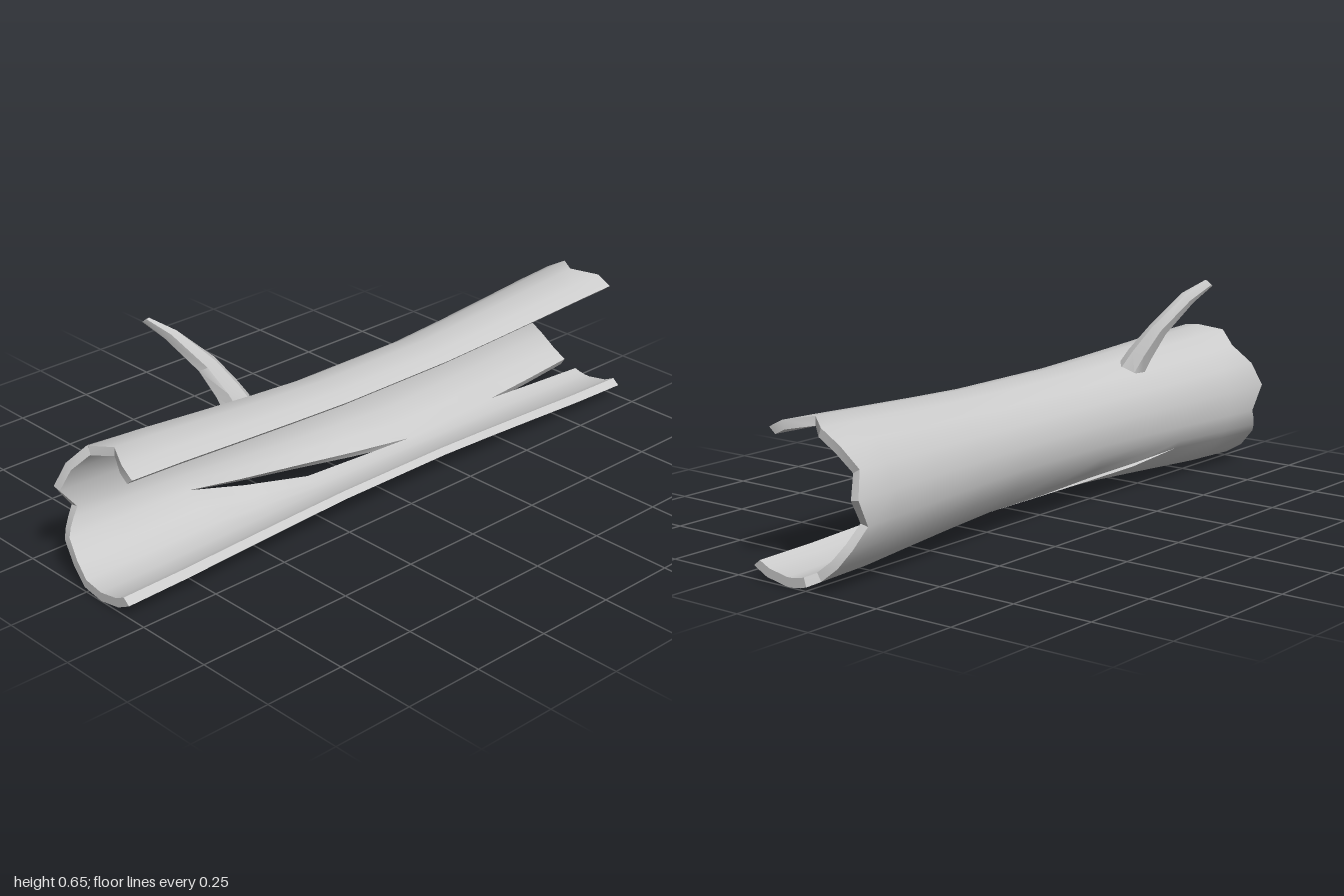
import * as THREE from 'three';
import { toCreasedNormals } from 'three/addons/utils/BufferGeometryUtils.js';

const RAD = Math.PI / 180;
const LIP_TOP = -34, LIP_BOTTOM = 214; // degrees from the top, turning over the back

// Linear interpolation through [key, value] pairs
function lookup(table, k) {
  if (k <= table[0][0]) return table[0][1];
  for (let i = 1; i < table.length; i++) {
    const [k0, v0] = table[i - 1], [k1, v1] = table[i];
    if (k <= k1) return v0 + (v1 - v0) * (k - k0) / (k1 - k0);
  }
  return table[table.length - 1][1];
}

// Jagged ends: x position by angle
const RIGHT_END = [[-34, -0.97], [-20, -0.965], [0, -0.93], [20, -0.96], [40, -0.915], [60, -0.955],
  [80, -0.98], [100, -0.925], [120, -0.975], [140, -0.985], [160, -1], [214, -1]];
const LEFT_END = [[-34, 0.93], [-20, 0.93], [0, 0.88], [20, 0.94], [40, 0.94], [60, 0.92],
  [80, 0.955], [100, 0.92], [120, 0.97], [140, 0.99], [160, 1], [214, 1]];

// The two edges of the seam; they part to form the long slit and the split end
const SEAM_UPPER = [[-0.57, 122], [-0.2, 140], [0.2, 162], [0.6, 156], [1, 148]];
const SEAM_LOWER = [[-0.57, 122], [-0.2, 155], [0.2, 162], [0.6, 156], [1, 162]];
const STATIONS = [-0.8, -0.57, -0.4, -0.2, 0, 0.2, 0.4, 0.6, 0.8];

// Point on the bark (inner = false) or on the hollow (inner = true)
function barkPoint(x, t, inner) {
  const flare = Math.min(1, Math.max(0, (Math.abs(x) - 0.2) / 0.7)) ** 1.15;
  const outerRadius = 0.186 + 0.036 * flare;
  const r = outerRadius - (inner ? 0.023 + 0.004 * flare : 0);
  if (inner) t = Math.min(LIP_BOTTOM - 2.5, Math.max(LIP_TOP + 2.5, t));
  const zc = 0.19 - 0.559 * outerRadius;
  return [x, 0.223 + r * Math.cos(t * RAD), zc - r * Math.sin(t * RAD)];
}

function buildGeometry(pos, crease) {
  const g = new THREE.BufferGeometry();
  g.setAttribute('position', new THREE.Float32BufferAttribute(pos, 3));
  return toCreasedNormals(g, crease);
}
const quad = (pos, a, b, c, d) => pos.push(...a, ...b, ...c, ...a, ...c, ...d);

// One band of shell; rowsAt(x) gives its angles at x
function addBand(pos, rowsAt, seamFirst) {
  const columns = [-1, ...STATIONS, 1];
  const grid = columns.map((x, i) => rowsAt(x).map((t) => {
    const px = i === 0 ? lookup(RIGHT_END, t) : i === columns.length - 1 ? lookup(LEFT_END, t) : x;
    return { o: barkPoint(px, t, false), n: barkPoint(px, t, true) };
  }));
  const I = grid.length - 1, J = grid[0].length - 1;
  const open = (x) => Math.abs(lookup(SEAM_UPPER, x) - lookup(SEAM_LOWER, x)) > 0.01;
  for (let i = 0; i < I; i++) {
    const A = grid[i], B = grid[i + 1];
    for (let j = 0; j < J; j++) {
      quad(pos, A[j].o, B[j].o, B[j + 1].o, A[j + 1].o);
      quad(pos, A[j].n, A[j + 1].n, B[j + 1].n, B[j].n);
    }
    // Walls along the lip, and along the seam where it gapes
    const gap = open(columns[i]) || open(columns[i + 1]);
    if (!seamFirst || gap) quad(pos, A[0].o, A[0].n, B[0].n, B[0].o);
    if (seamFirst || gap) quad(pos, A[J].o, B[J].o, B[J].n, A[J].n);
  }
  for (let j = 0; j < J; j++) {
    const a = grid[0], b = grid[I];
    quad(pos, a[j].o, a[j + 1].o, a[j + 1].n, a[j].n);
    quad(pos, b[j].o, b[j].n, b[j + 1].n, b[j + 1].o);
  }
}

function hollowLog() {
  const pos = [];
  addBand(pos, (x) => {
    const s = lookup(SEAM_UPPER, x);
    return [LIP_TOP, -20, 0, 20, 40, 60, 80, 100, 100 + (s - 100) / 3, 100 + (s - 100) * 2 / 3, s];
  }, false);
  addBand(pos, (x) => {
    const s = lookup(SEAM_LOWER, x);
    return [s, s + (180 - s) / 3, s + (180 - s) * 2 / 3, 180, 200, LIP_BOTTOM];
  }, true);
  return buildGeometry(pos, 38 * RAD);
}

// Bent twig: six-sided rings [x, y, z, half width, half depth]
function twig() {
  const sections = [[-0.435, 0.375, -0.015, 0.045, 0.036], [-0.455, 0.425, -0.036, 0.038, 0.033],
    [-0.492, 0.5, -0.075, 0.03, 0.025], [-0.572, 0.597, -0.132, 0.019, 0.018],
    [-0.622, 0.642, -0.177, 0.008, 0.012]];
  const rings = sections.map(([x, y, z, w, d], i) => Array.from({ length: 6 }, (_, k) => {
    const a = k * Math.PI / 3, tilt = i > 2 ? 0.7 : 0.3;
    return [x + w * Math.cos(a), y + d * Math.sin(a) * tilt + w * Math.cos(a) * 0.4, z + d * Math.sin(a)];
  }));
  const pos = [];
  for (let i = 0; i < rings.length - 1; i++) {
    for (let k = 0; k < 6; k++) {
      const m = (k + 1) % 6;
      quad(pos, rings[i][k], rings[i + 1][k], rings[i + 1][m], rings[i][m]);
    }
  }
  const tip = rings[rings.length - 1];
  for (let k = 1; k < 5; k++) pos.push(...tip[0], ...tip[k + 1], ...tip[k]);
  return buildGeometry(pos, 50 * RAD);
}

export function createModel() {
  const group = new THREE.Group();
  group.name = 'hollowLog';
  const material = new THREE.MeshStandardMaterial({ color: 0xcccccc });
  for (const [name, geometry] of [['logShell', hollowLog()], ['twig', twig()]]) {
    const mesh = new THREE.Mesh(geometry, material);
    mesh.name = name;
    group.add(mesh);
  }
  return group;
}
